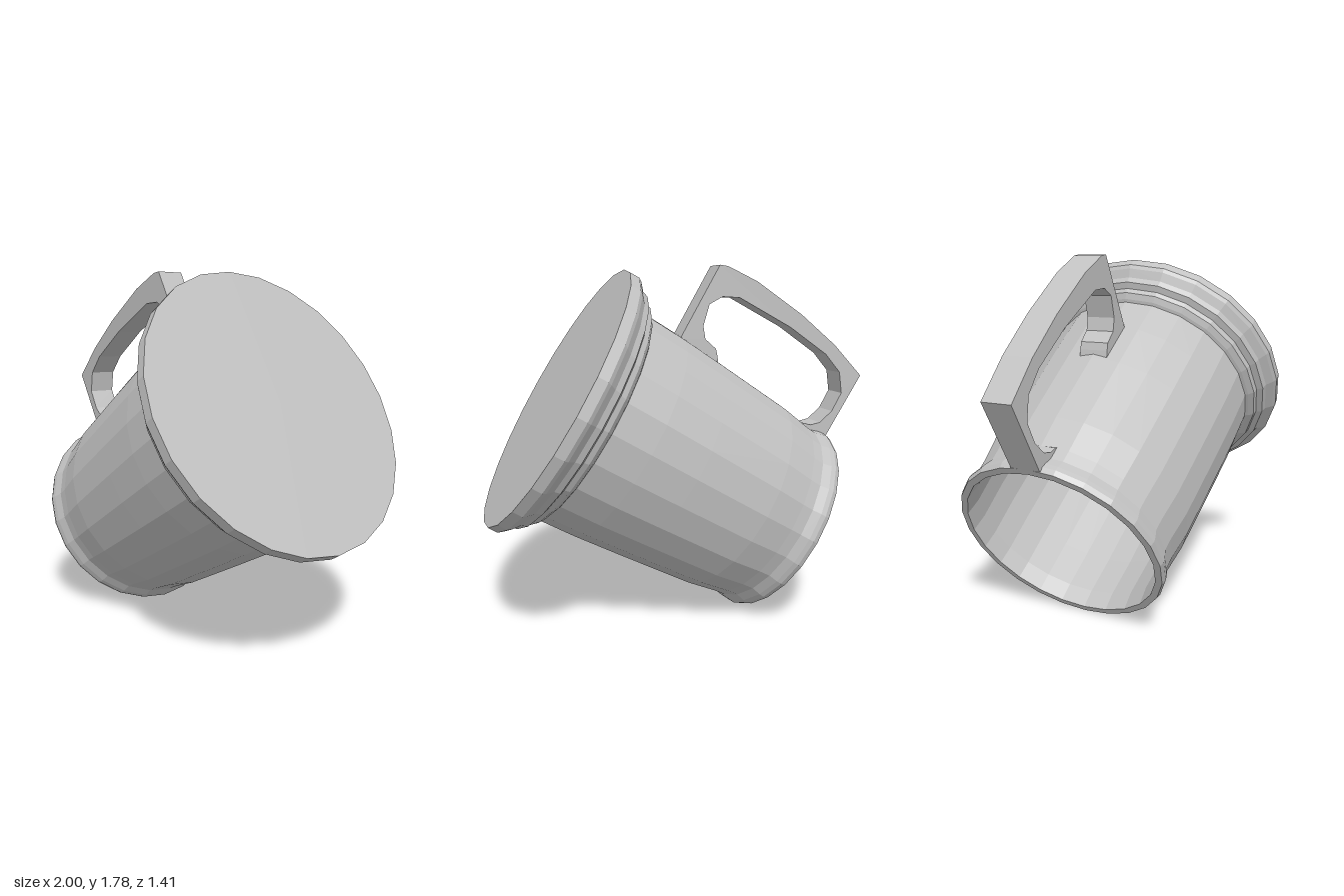
import * as THREE from 'three';

const pts = (list) => list.map(([x, y]) => new THREE.Vector2(x, y));

export function createModel() {
  const model = new THREE.Group();
  model.name = 'tiltedMug';
  const grey = new THREE.MeshStandardMaterial({ color: 0xc2c2c2, flatShading: true });
  grey.name = 'grey';

  const add = (parent, name, geometry) => {
    const mesh = new THREE.Mesh(geometry, grey);
    mesh.name = name;
    parent.add(mesh);
    return mesh;
  };

  // Mug body: upright in its own frame, then tipped over so the foot points up and right
  const body = new THREE.Group();
  body.name = 'body';
  body.position.set(0.64, 1.155, 0);
  body.rotation.z = Math.atan2(0.86, -0.511);
  model.add(body);

  // Stepped foot
  add(body, 'steppedFoot', new THREE.LatheGeometry(pts([
    [0, 0], [0.704, 0], [0.706, 0.05], [0.694, 0.068],
    [0.66, 0.1], [0.651, 0.13], [0.62, 0.143],
    [0.613, 0.17], [0.587, 0.19], [0.572, 0.197],
  ]), 24));

  // Tapered outer wall, flared lip and hollow inside
  add(body, 'cup', new THREE.LatheGeometry(pts([
    [0.572, 0.197], [0.569, 0.4], [0.557, 0.65], [0.534, 1.06],
    [0.512, 1.22], [0.508, 1.28], [0.522, 1.325], [0.526, 1.35], [0.518, 1.376],
    [0.485, 1.376], [0.48, 1.28], [0.5, 1.06], [0.535, 0.3], [0.525, 0.12], [0, 0.12],
  ]), 24));

  // Squared handle with a rounded opening; its ends sink into the wall
  const outline = new THREE.Shape(pts([
    [-0.785, 0.89], [-0.805, 0.893], [-1, 1.214], [-0.84, 1.38], [-0.643, 1.54],
    [-0.393, 1.706], [-0.233, 1.78], [-0.19, 1.786], [0.013, 1.433], [0.01, 1.427],
    [-0.186, 1.292], [-0.18, 1.335], [-0.172, 1.372], [-0.115, 1.422], [-0.104, 1.487],
    [-0.136, 1.594], [-0.206, 1.631], [-0.297, 1.626], [-0.58, 1.476], [-0.79, 1.332],
    [-0.874, 1.235], [-0.89, 1.123], [-0.837, 1.027], [-0.768, 0.968], [-0.714, 0.957],
    [-0.676, 0.968], [-0.642, 0.963],
  ]));
  const handle = add(model, 'handle',
    new THREE.ExtrudeGeometry(outline, { depth: 0.146, bevelEnabled: false }));
  handle.position.z = -0.073;

  return model;
}
